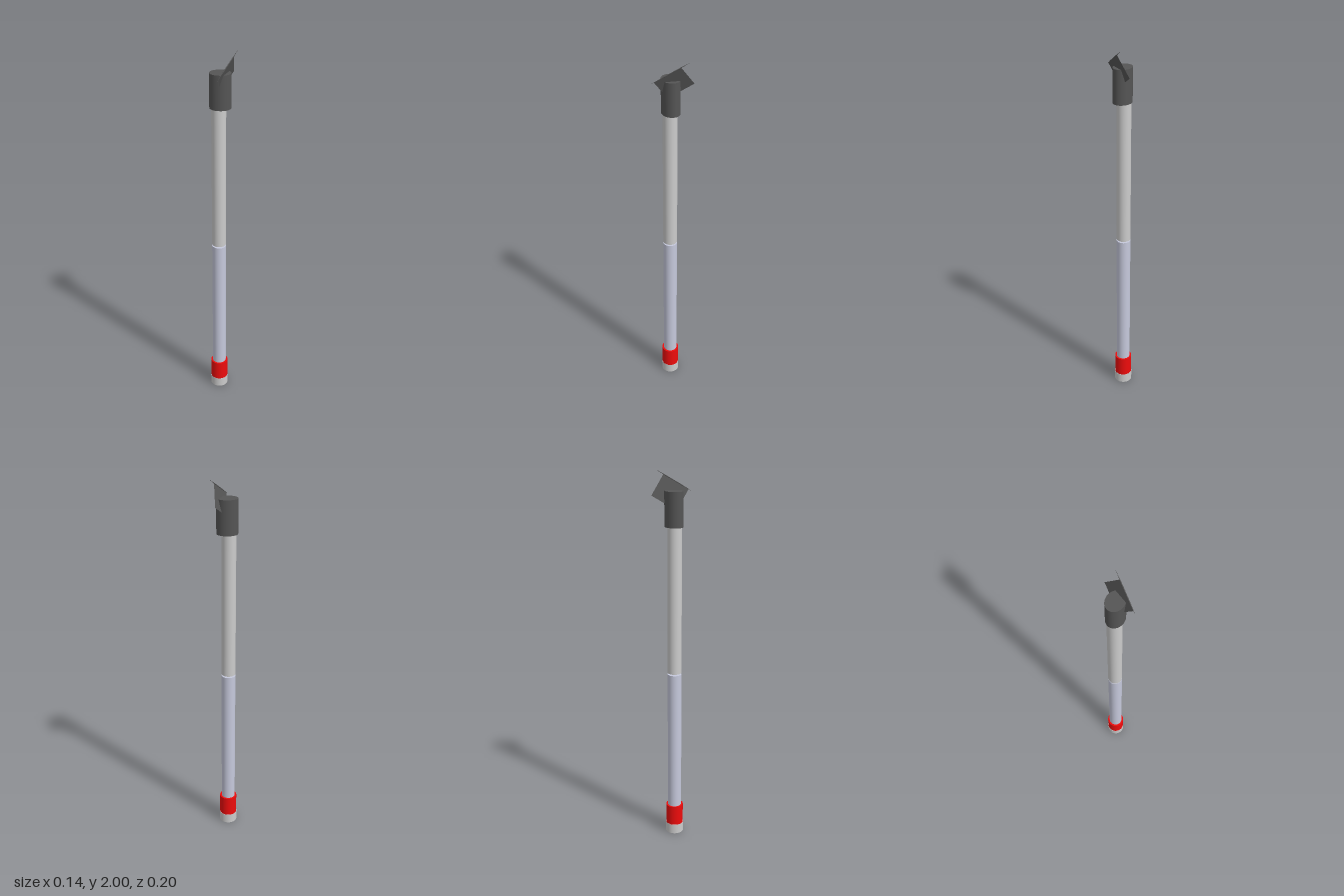
import * as THREE from 'three';

const grey = new THREE.MeshStandardMaterial({ color: 0xcccccc });
const lavender = new THREE.MeshStandardMaterial({ color: 0xc6c9dc });
const red = new THREE.MeshStandardMaterial({ color: 0xee0c0c });
const dark = new THREE.MeshStandardMaterial({ color: 0x555555 });
const darkSheet = new THREE.MeshStandardMaterial({ color: 0x555555, side: THREE.DoubleSide });

export function createModel() {
  const group = new THREE.Group();

  // Upright cylinder between two heights
  function tube(name, material, radius, y0, y1, x = -0.022, z = -0.009) {
    const mesh = new THREE.Mesh(new THREE.CylinderGeometry(radius, radius, y1 - y0, 48), material);
    mesh.name = name;
    mesh.position.set(x, (y0 + y1) / 2, z);
    group.add(mesh);
    return mesh;
  }

  tube('baseFoot', grey, 0.048, 0, 0.054);
  tube('redCollar', red, 0.0465, 0.054, 0.165);
  tube('lowerTube', lavender, 0.037, 0.165, 0.939);
  tube('upperTube', grey, 0.037, 0.947, 1.72);

  // Oval head, stretched toward the blade
  const head = tube('headSocket', dark, 0.045, 1.72, 1.898, -0.014, -0.008);
  head.scale.x = 1.2;

  // Tilted rectangular blade, its lower corner buried in the head
  const a = new THREE.Vector3(-0.012, 1.9, 0.083);
  const b = new THREE.Vector3(0.05, 1.975, -0.027);
  const c = new THREE.Vector3(0.045, 1.875, -0.103);
  const d = a.clone().add(c).sub(b);
  const geometry = new THREE.BufferGeometry().setFromPoints([a, b, c, d]);
  geometry.setIndex([0, 2, 1, 0, 3, 2]);
  geometry.computeVertexNormals();
  const blade = new THREE.Mesh(geometry, darkSheet);
  blade.name = 'blade';
  group.add(blade);

  // Fine spindle along the blade's upper edge, pointed past both ends
  const axis = b.clone().sub(a);
  const tail = a.clone().addScaledVector(axis, -0.16);
  const tip = b.clone().addScaledVector(axis, 0.34);
  const length = tip.distanceTo(tail);
  const profile = [[0, -0.5], [0.0022, -0.2], [0.0022, 0.2], [0, 0.5]]
    .map(([r, t]) => new THREE.Vector2(r, t * length));
  const spindle = new THREE.Mesh(new THREE.LatheGeometry(profile, 8), dark);
  spindle.name = 'bladeSpindle';
  spindle.position.copy(tail).add(tip).multiplyScalar(0.5);
  spindle.quaternion.setFromUnitVectors(new THREE.Vector3(0, 1, 0), axis.normalize());
  group.add(spindle);

  return group;
}
